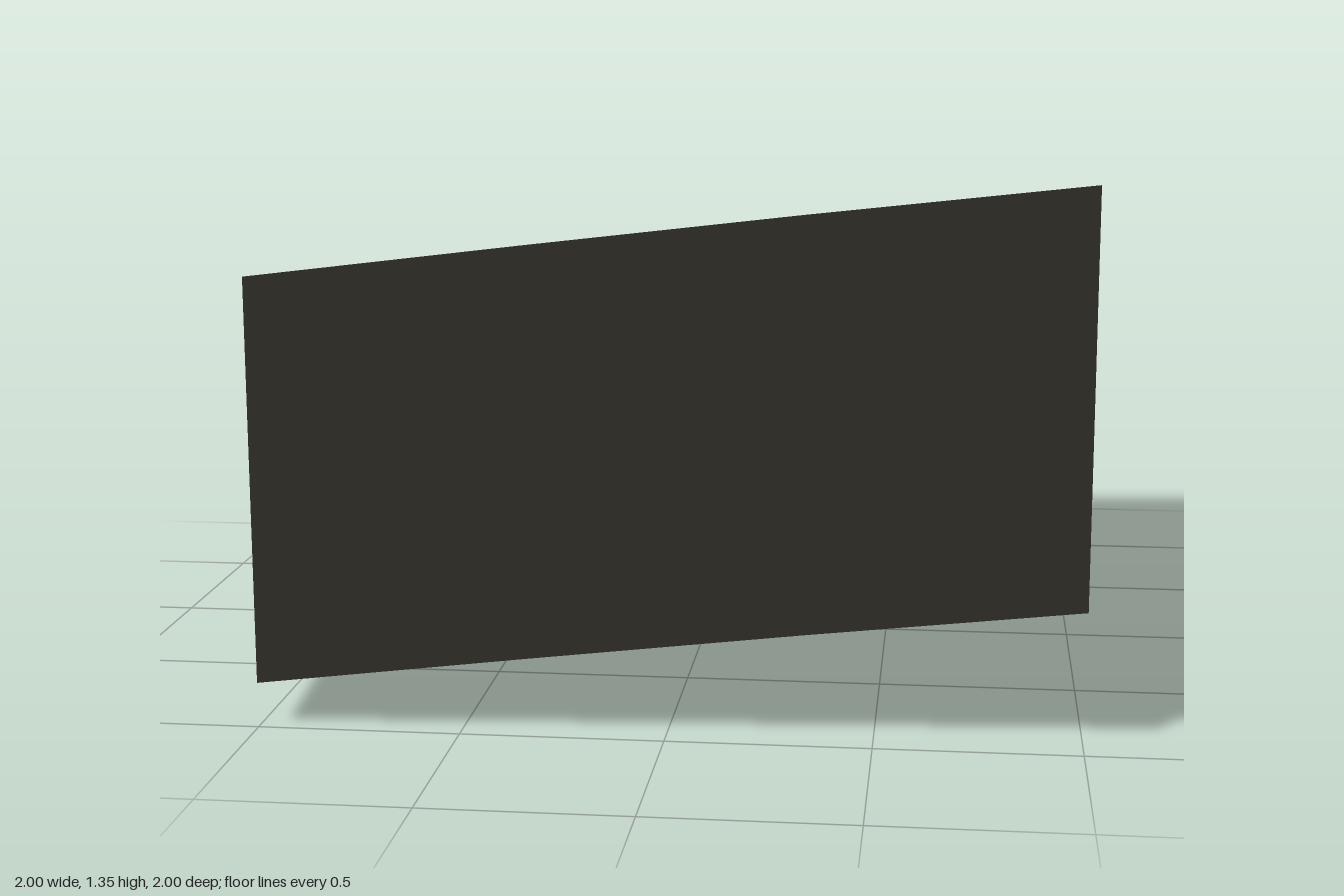
import * as THREE from 'three';

// Rim heights on a 4 x 4 grid: rows run back to front, columns from -x to +x
const HEIGHTS = [
  [-0.15, -0.075, 0.0, 0.08],
  [-0.075, 0.004, 0.084, 0.163],
  [0.014, 0.094, 0.173, 0.252],
  [0.112, 0.195, 0.275, 0.35],
];
const STEP = 2 / 3;
const THICKNESS = 1;

// Stepped footprint: each row nearer the front is one tile longer
const filled = (i, j) => i >= 0 && i < 3 && j >= 0 && j < 3 && i + j >= 2;

const point = ([i, j], lift) => [-1 + i * STEP, HEIGHTS[j][i] + lift, -1 + j * STEP];

// Smooth ground normal, shared by top and walls so that the block shades evenly
function groundNormal([i, j]) {
  const i0 = Math.max(i - 1, 0), i1 = Math.min(i + 1, 3);
  const j0 = Math.max(j - 1, 0), j1 = Math.min(j + 1, 3);
  const dx = (HEIGHTS[j][i1] - HEIGHTS[j][i0]) / ((i1 - i0) * STEP);
  const dz = (HEIGHTS[j1][i] - HEIGHTS[j0][i]) / ((j1 - j0) * STEP);
  return new THREE.Vector3(-dx, 1, -dz).normalize().toArray();
}

// Mesh from quads; each corner is [gridPoint, lift]
function quadMesh(name, quads, material) {
  const positions = [], normals = [];
  for (const q of quads) {
    for (const k of [0, 1, 2, 0, 2, 3]) {
      positions.push(...point(q[k][0], q[k][1]));
      normals.push(...groundNormal(q[k][0]));
    }
  }
  const geometry = new THREE.BufferGeometry();
  geometry.setAttribute('position', new THREE.Float32BufferAttribute(positions, 3));
  geometry.setAttribute('normal', new THREE.Float32BufferAttribute(normals, 3));
  const mesh = new THREE.Mesh(geometry, material);
  mesh.name = name;
  return mesh;
}

export function createModel() {
  // The shell is open underneath, so its inside shows too
  const stone = new THREE.MeshStandardMaterial({ color: 0x636052, side: THREE.DoubleSide });
  stone.name = 'greyBrownStone';

  const top = [], walls = [];
  for (let j = 0; j < 3; j++) {
    for (let i = 0; i < 3; i++) {
      if (!filled(i, j)) continue;
      // Tile corners, counterclockwise seen from above
      const ring = [[i, j], [i, j + 1], [i + 1, j + 1], [i + 1, j]];
      top.push(ring.map((c) => [c, THICKNESS]));

      // Walls wherever a tile has no neighbour
      const neighbours = [[i - 1, j], [i, j + 1], [i + 1, j], [i, j - 1]];
      neighbours.forEach((n, k) => {
        if (filled(...n)) return;
        const a = ring[k], b = ring[(k + 1) % 4];
        walls.push([[a, 0], [b, 0], [b, THICKNESS], [a, THICKNESS]]);
      });
    }
  }

  const model = new THREE.Group();
  model.name = 'steppedSlopingShell';
  model.add(
    quadMesh('topSurface', top, stone),
    quadMesh('sideWalls', walls, stone),
  );
  return model;
}
